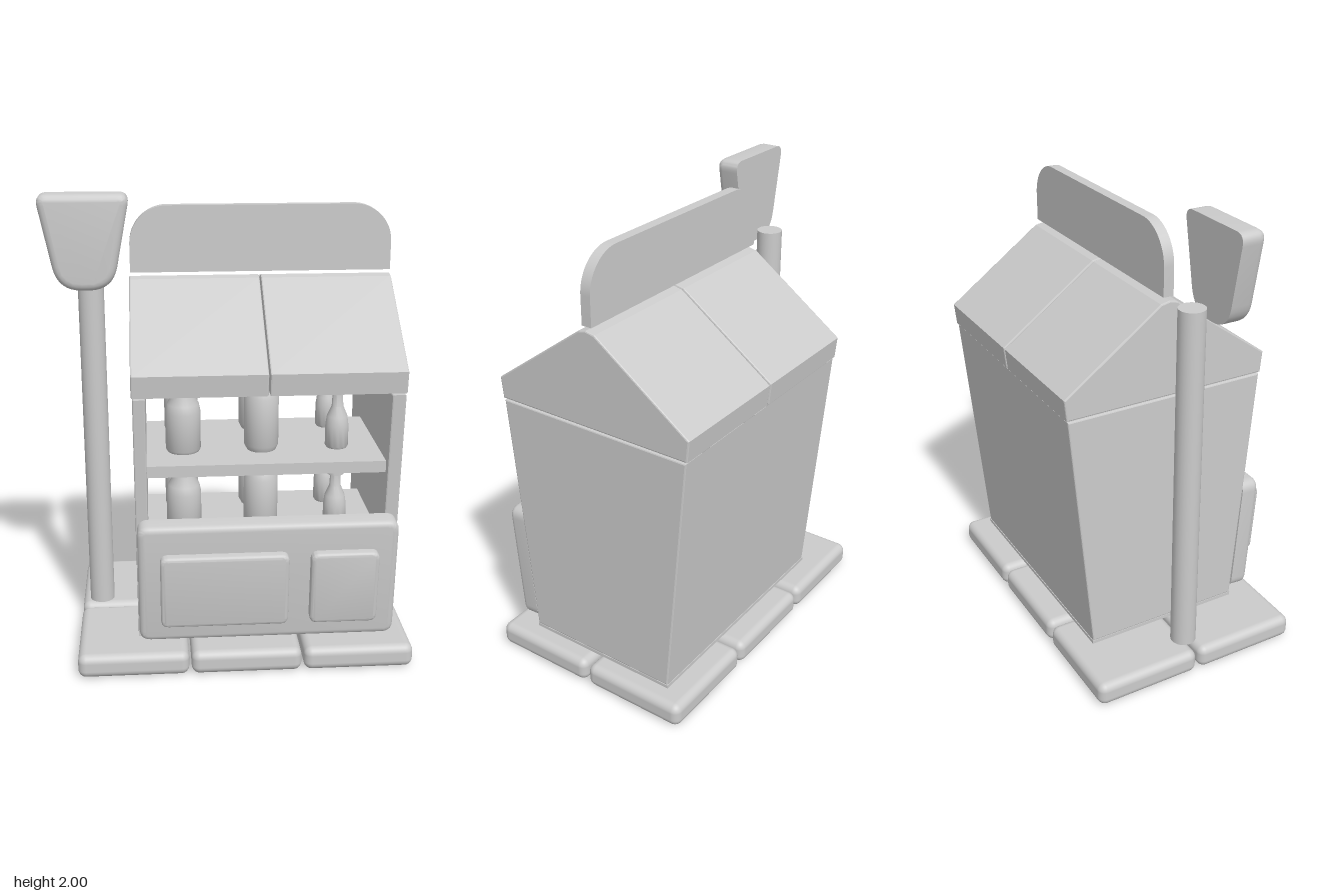
import * as THREE from 'three';
import { toCreasedNormals } from 'three/addons/utils/BufferGeometryUtils.js';
import { RoundedBoxGeometry } from 'three/addons/geometries/RoundedBoxGeometry.js';

const grey = new THREE.MeshStandardMaterial({ color: 0xcccccc });

function add(parent, name, geometry, x = 0, y = 0, z = 0) {
  const mesh = new THREE.Mesh(geometry, grey);
  mesh.name = name;
  mesh.position.set(x, y, z);
  parent.add(mesh);
  return mesh;
}

// Polygon with rounded corners; each corner is [x, y, radius]
function roundedShape(corners) {
  const shape = new THREE.Shape();
  const n = corners.length;
  corners.forEach(([x, y, r], i) => {
    const p = new THREE.Vector2(x, y);
    const toward = (q) => new THREE.Vector2(q[0], q[1]).sub(p).setLength(r).add(p);
    const a = toward(corners[(i + n - 1) % n]);
    const b = toward(corners[(i + 1) % n]);
    if (i === 0) shape.moveTo(a.x, a.y);
    else shape.lineTo(a.x, a.y);
    if (r > 0) shape.quadraticCurveTo(x, y, b.x, b.y);
  });
  shape.closePath();
  return shape;
}

// Plate with a flat back at z = 0 and a rounded front rim
function plate(corners, depth, bevel) {
  const geometry = new THREE.ExtrudeGeometry(roundedShape(corners), {
    depth: depth - bevel, bevelEnabled: true, bevelThickness: bevel,
    bevelSize: bevel, bevelOffset: -bevel, bevelSegments: 4, curveSegments: 8,
  });
  const pos = geometry.attributes.position;
  for (let i = 0; i < pos.count; i++) pos.setZ(i, Math.max(0, pos.getZ(i)));
  geometry.computeVertexNormals();
  return toCreasedNormals(geometry, 0.6);
}

const rect = (w, h, r) => [
  [-w / 2, -h / 2, r], [w / 2, -h / 2, r], [w / 2, h / 2, r], [-w / 2, h / 2, r],
];

// Side profile of [z, y] points swept from x0 to x1
function sweepX(points, x0, x1, bevel) {
  const shape = new THREE.Shape(points.map(([z, y]) => new THREE.Vector2(z, y)));
  return new THREE.ExtrudeGeometry(shape, {
    depth: x1 - x0 - 2 * bevel, bevelEnabled: bevel > 0, bevelThickness: bevel,
    bevelSize: bevel, bevelOffset: -bevel, bevelSegments: 2,
  }).rotateY(-Math.PI / 2).translate(x1 - bevel, 0, 0);
}

function lathe(points) {
  const profile = points.map(([r, y]) => new THREE.Vector2(r, y));
  return toCreasedNormals(new THREE.LatheGeometry(profile, 24), 0.6);
}

export function createModel() {
  const model = new THREE.Group();
  model.name = 'vendingKiosk';

  // Paving slabs
  const slab = new RoundedBoxGeometry(0.475, 0.105, 0.475, 4, 0.035);
  for (const x of [-0.432, 0.053, 0.538])
    for (const z of [-0.272, 0.216]) add(model, 'baseSlab', slab, x, 0.0525, z);

  // Cabinet: two thick side walls, thin back and floor
  const sideProfile = [[0.3, 0.13], [0.395, 1.222], [-0.5, 1.222], [-0.405, 0.13]];
  add(model, 'rightWall', sweepX(sideProfile, -0.41, -0.358, 0.006));
  add(model, 'leftWall', sweepX(sideProfile, 0.642, 0.7, 0.006));
  const back = new THREE.PlaneGeometry(1.1, Math.hypot(1.092, 0.095));
  const backPanel = add(model, 'backPanel', back, 0.145, 0.676, -0.4525);
  backPanel.rotation.set(-Math.atan2(0.095, 1.092), Math.PI, 0, 'XYZ');
  add(model, 'cabinetFloor', new THREE.BoxGeometry(1.11, 0.015, 0.71), 0.145, 0.123, -0.053);

  // Shelves
  for (const y of [0.89, 0.525])
    add(model, 'shelf', new THREE.BoxGeometry(1.0, 0.05, 0.6), 0.142, y, 0.03);

  // Drinks, two rows on each shelf
  const drinks = [
    ['largeBottle', -0.2, lathe([[0, 0], [0.068, 0], [0.075, 0.012], [0.075, 0.175], [0.068, 0.21],
      [0.047, 0.25], [0.047, 0.27], [0.052, 0.27], [0.052, 0.315], [0, 0.315]])],
    ['drinkCan', 0.135, lathe([[0, 0], [0.062, 0], [0.074, 0.025], [0.074, 0.235],
      [0.062, 0.265], [0.06, 0.27], [0, 0.27]])],
    ['smallBottle', 0.462, lathe([[0, 0], [0.044, 0], [0.05, 0.01], [0.05, 0.1], [0.044, 0.14],
      [0.025, 0.185], [0.022, 0.24], [0.036, 0.24], [0.036, 0.268], [0, 0.268]])],
  ];
  for (const y of [0.918, 0.553])
    for (const z of [0.14, -0.15])
      for (const [name, x, geometry] of drinks) add(model, name, geometry, x, y, z);

  // Leaning front panel with two raised plates
  const lean = 0.08;
  const front = add(model, 'frontPanel', plate(rect(1.095, 0.545, 0.05), 0.085, 0.025), 0.143, 0.418, 0.333);
  front.rotation.x = lean;
  const wide = add(model, 'widePlate', plate(rect(0.535, 0.33, 0.035), 0.04, 0.015), -0.045, 0.415, 0.457);
  const narrow = add(model, 'narrowPlate', plate(rect(0.285, 0.33, 0.035), 0.04, 0.015), 0.455, 0.415, 0.457);
  wide.rotation.x = narrow.rotation.x = lean;

  // Gabled roof in two halves
  const roofProfile = [[0.398, 1.23], [0.407, 1.322], [-0.015, 1.63], [-0.05, 1.638],
    [-0.09, 1.63], [-0.515, 1.322], [-0.506, 1.23]];
  add(model, 'rightRoof', sweepX(roofProfile, -0.415, 0.138, 0.006));
  add(model, 'leftRoof', sweepX(roofProfile, 0.144, 0.703, 0.006));

  // Sign board above the ridge
  const board = new THREE.Shape();
  board.moveTo(-0.41, 1.655);
  board.lineTo(0.7, 1.655);
  board.lineTo(0.7, 1.775);
  board.absarc(0.54, 1.775, 0.16, 0, Math.PI / 2);
  board.absarc(-0.25, 1.775, 0.16, Math.PI / 2, Math.PI);
  board.closePath();
  const boardGeometry = new THREE.ExtrudeGeometry(board, { depth: 0.045, bevelEnabled: false, curveSegments: 12 });
  add(model, 'signBoard', toCreasedNormals(boardGeometry, 0.6), 0, 0, -0.078);

  // Pole with a tapered head
  add(model, 'pole', new THREE.CylinderGeometry(0.055, 0.055, 1.54, 24), -0.578, 0.9, -0.056);
  const head = [[-0.705, 1.607, 0.1], [-0.478, 1.607, 0.1], [-0.402, 2, 0.05], [-0.784, 2, 0.05]];
  add(model, 'poleHead', plate(head, 0.105, 0.03), 0, 0, 0.017);

  return model;
}
